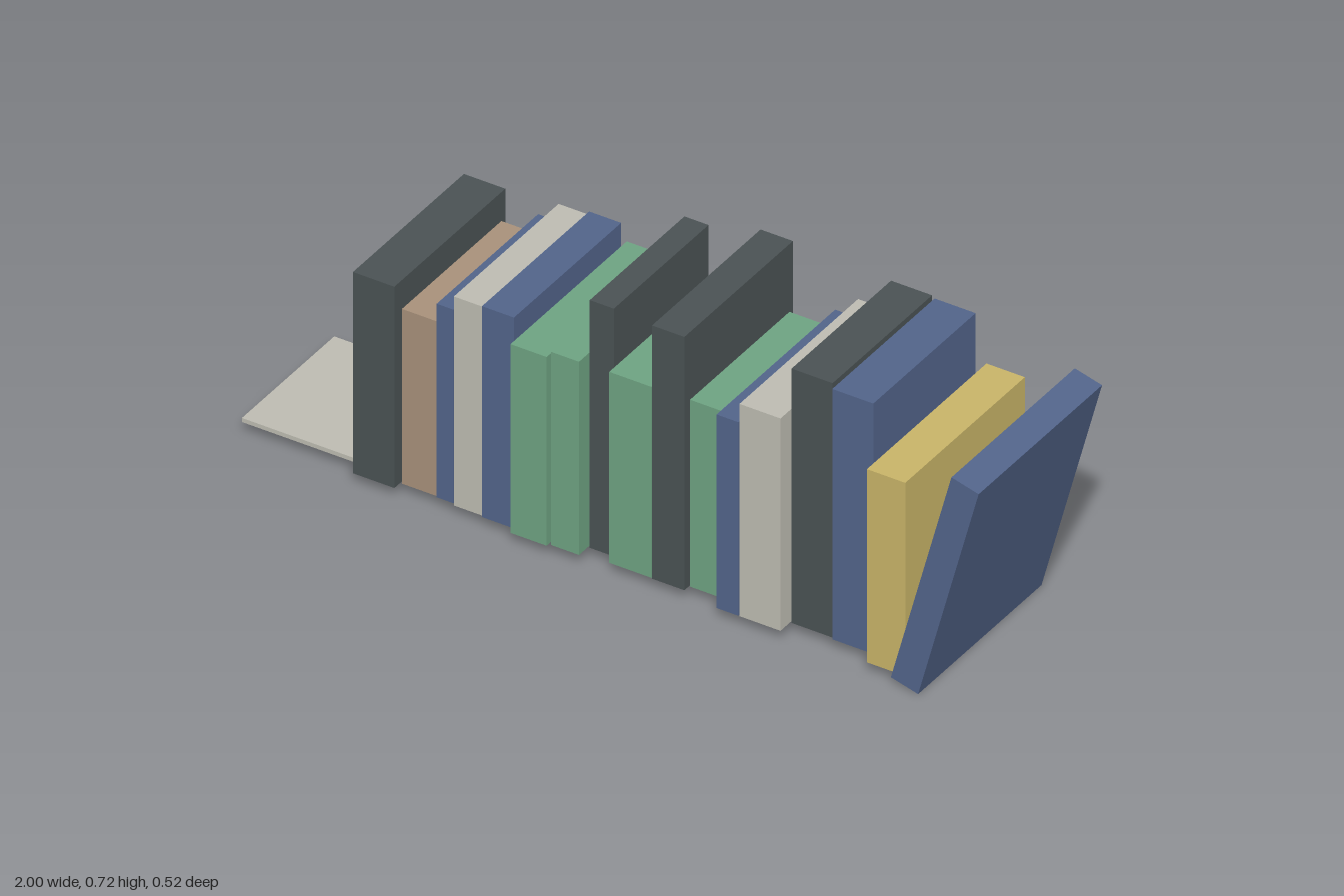
import * as THREE from 'three';

const paint = (name, color) => {
  const m = new THREE.MeshStandardMaterial({ color });
  m.name = name;
  return m;
};

export function createModel() {
  const charcoal = paint('charcoal', 0x4a5254);
  const blue = paint('blue', 0x52648a);
  const green = paint('green', 0x6ea382);
  const grey = paint('warm grey', 0xbebcb2);
  const brown = paint('brown', 0xa8917a);
  const gold = paint('gold', 0xc8b468);

  const model = new THREE.Group();
  model.name = 'bookRow';

  // Box from its x and y limits and its half depth
  const block = (name, material, x0, x1, y0, y1, halfDepth) => {
    const mesh = new THREE.Mesh(new THREE.BoxGeometry(x1 - x0, y1 - y0, 2 * halfDepth), material);
    mesh.position.set((x0 + x1) / 2, (y0 + y1) / 2, 0);
    mesh.name = name;
    model.add(mesh);
    return mesh;
  };

  // Upright books: colour, left edge, right edge, top, half depth
  const shelfY = 0.03;
  const books = [
    [charcoal, -0.68, -0.57, 0.576, 0.232],
    [brown, -0.565, -0.473, 0.504, 0.208],
    [blue, -0.47, -0.425, 0.555, 0.212],
    [grey, -0.42, -0.345, 0.597, 0.219],
    [blue, -0.342, -0.257, 0.602, 0.224],
    [green, -0.254, -0.158, 0.542, 0.243],
    [green, -0.152, -0.077, 0.554, 0.235],
    [charcoal, -0.072, -0.008, 0.702, 0.198],
    [green, -0.003, 0.109, 0.548, 0.225],
    [charcoal, 0.112, 0.198, 0.717, 0.227],
    [green, 0.201, 0.292, 0.537, 0.208],
    [blue, 0.297, 0.355, 0.555, 0.248],
    [grey, 0.358, 0.467, 0.606, 0.248],
    [charcoal, 0.471, 0.58, 0.72, 0.208],
    [blue, 0.583, 0.692, 0.709, 0.214],
    [gold, 0.698, 0.8, 0.554, 0.25],
  ];
  books.forEach(([material, x0, x1, top, half], i) =>
    block(`book${i + 1}`, material, x0, x1, shelfY, top, half));

  // Last book leaning on the row
  const leaning = block('leaningBook', blue, 0.846, 0.921, -0.001, 0.621, 0.258);
  leaning.rotation.z = -Math.PI / 12;

  // Thin L-shaped bookend
  block('bookendBase', grey, -1, -0.688, shelfY, 0.041, 0.193);
  block('bookendUpright', grey, -0.698, -0.688, 0.041, 0.442, 0.193);

  return model;
}
